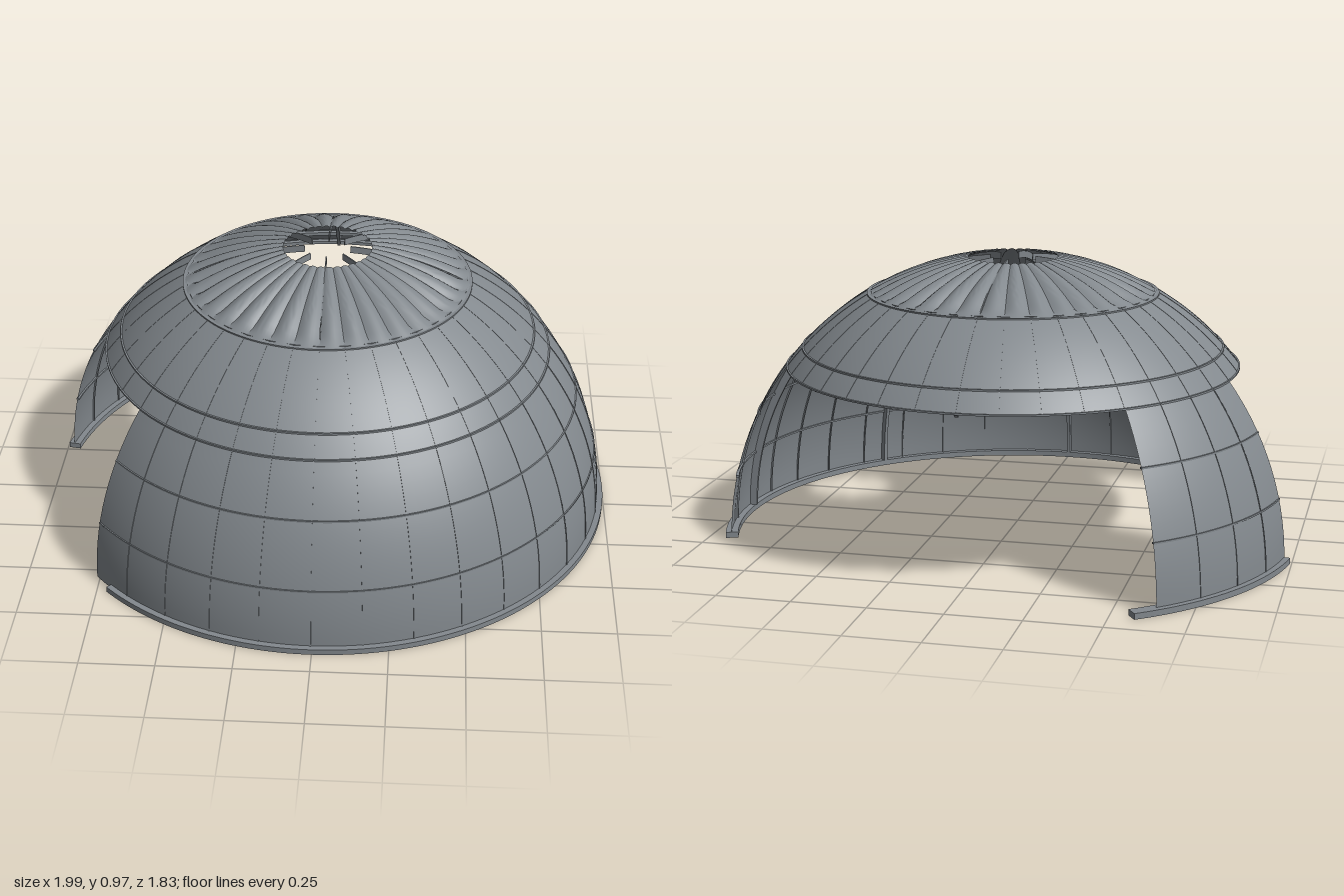
import * as THREE from 'three';
import { toCreasedNormals } from 'three/addons/utils/BufferGeometryUtils.js';

const R = 0.985; // dome radius
const rad = THREE.MathUtils.degToRad;
const radiusAt = (y) => Math.sqrt(R * R - y * y);
const elevAt = (y) => Math.asin(y / R);

export function createModel() {
  const steel = new THREE.MeshStandardMaterial({ color: 0x83898e, side: THREE.DoubleSide });
  steel.name = 'steel grey';

  const model = new THREE.Group();
  model.name = 'brokenDome';
  const dome = new THREE.Group();
  dome.name = 'dome';
  dome.position.set(-0.005, 0, -0.09);
  model.add(dome);

  const add = (name, geometry) => {
    const mesh = new THREE.Mesh(geometry, steel);
    mesh.name = name;
    dome.add(mesh);
  };

  // Meridian curve of the dome between two heights
  const profile = (y0, y1, n) => Array.from({ length: n + 1 }, (_, i) => {
    const e = THREE.MathUtils.lerp(elevAt(y0), elevAt(y1), i / n);
    return new THREE.Vector2(R * Math.cos(e), R * Math.sin(e));
  });

  // Spherical skin; angles in degrees from +x towards +z
  const shell = (name, y0, y1, a0, a1) => add(name,
    new THREE.LatheGeometry(profile(y0, y1, 14), Math.round((a1 - a0) / 2.5), rad(90 - a1), rad(a1 - a0)));

  // Shape bounded by two concentric arcs
  const arcShape = (inner, outer, a0, a1) => {
    const s = new THREE.Shape();
    s.absarc(0, 0, outer, a0, a1, false);
    s.absarc(0, 0, inner, a1, a0, true);
    return s;
  };

  // Horizontal hoop, whole or partial
  const hoop = (name, y, h, inner, outer, a0, a1) => {
    const g = new THREE.ExtrudeGeometry(arcShape(inner, outer, rad(a0), rad(a1)),
      { depth: h, bevelEnabled: false, curveSegments: Math.ceil((a1 - a0) / 2.5) });
    g.rotateX(Math.PI / 2);
    g.translate(0, y + h, 0);
    add(name, toCreasedNormals(g, 0.4));
  };

  // Curved rib that follows a meridian
  const rib = (name, angle, e0, e1, inner, outer, w) => {
    const g = new THREE.ExtrudeGeometry(arcShape(inner, outer, e0, e1),
      { depth: w, bevelEnabled: false, curveSegments: 20 });
    g.translate(0, 0, -w / 2);
    g.rotateY(-rad(angle));
    add(name, toCreasedNormals(g, 0.4));
  };

  // Lower wall: a wide front section and a narrow back section
  const walls = [
    { name: 'frontWall', a0: -20, a1: 140, f0: -20, f1: 135 },
    { name: 'backWall', a0: 190, a1: 230, f0: 190, f1: 235 },
  ];
  for (const { name, a0, a1, f0, f1 } of walls) {
    shell(name, 0.005, 0.605, a0, a1);
    hoop(name + 'Flange', 0, 0.02, 0.962, 1.005, f0, f1);
    for (const y of [0.22, 0.44]) {
      const r = radiusAt(y);
      hoop(name + 'HoopSeam', y - 0.003, 0.006, r - 0.008, r + 0.003, a0, a1);
    }
    for (let a = a0 + 10; a < a1; a += 10) {
      rib(name + 'Seam', a, elevAt(0.02), elevAt(0.605), R - 0.006, R + 0.002, 0.004);
    }
  }

  // Upper collar runs all the way round
  shell('collar', 0.605, 0.85, 0, 360);
  for (let a = 0; a < 360; a += 10) {
    rib('collarSeam', a, elevAt(0.605), elevAt(0.85), R - 0.006, R + 0.001, 0.004);
  }
  for (const y of [0.605, 0.67, 0.85]) {
    const r = radiusAt(y);
    hoop('collarHoopSeam', y - 0.003, 0.006, r - 0.012, r + 0.003, 0, 360);
    hoop('collarInnerHoop', y - 0.006, 0.012, r - 0.03, r - 0.012, 0, 360);
  }

  // Crown of 36 pillowed gores around an open eye, level at its rim
  const crown = new THREE.LatheGeometry(profile(0.85, 0.973, 14), 288);
  const pos = crown.attributes.position;
  const v = new THREE.Vector3();
  for (let i = 0; i < pos.count; i++) {
    v.fromBufferAttribute(pos, i);
    const r = Math.hypot(v.x, v.z);
    const fade = THREE.MathUtils.clamp((radiusAt(0.85) - r) / 0.05, 0, 1);
    const sag = 0.035 * r * fade * (1 - Math.abs(Math.sin(18 * Math.atan2(v.x, v.z))));
    v.multiplyScalar(1 - sag / R);
    pos.setXYZ(i, v.x, v.y, v.z);
  }
  add('crown', toCreasedNormals(crown, 0.5));

  // Eight main ribs; their tips reach into the open eye
  for (let a = 0; a < 360; a += 45) {
    const standing = walls.some((w) => [a, a - 360].some((t) => t >= w.a0 && t <= w.a1));
    const low = elevAt(standing ? 0.02 : 0.605);
    rib('mainRib', a, low, elevAt(0.85), R - 0.027, R - 0.002, 0.012);
    rib('crownRib', a, elevAt(0.85), Math.acos(0.08 / R), R - 0.032, R - 0.008, 0.004);
  }

  return model;
}
